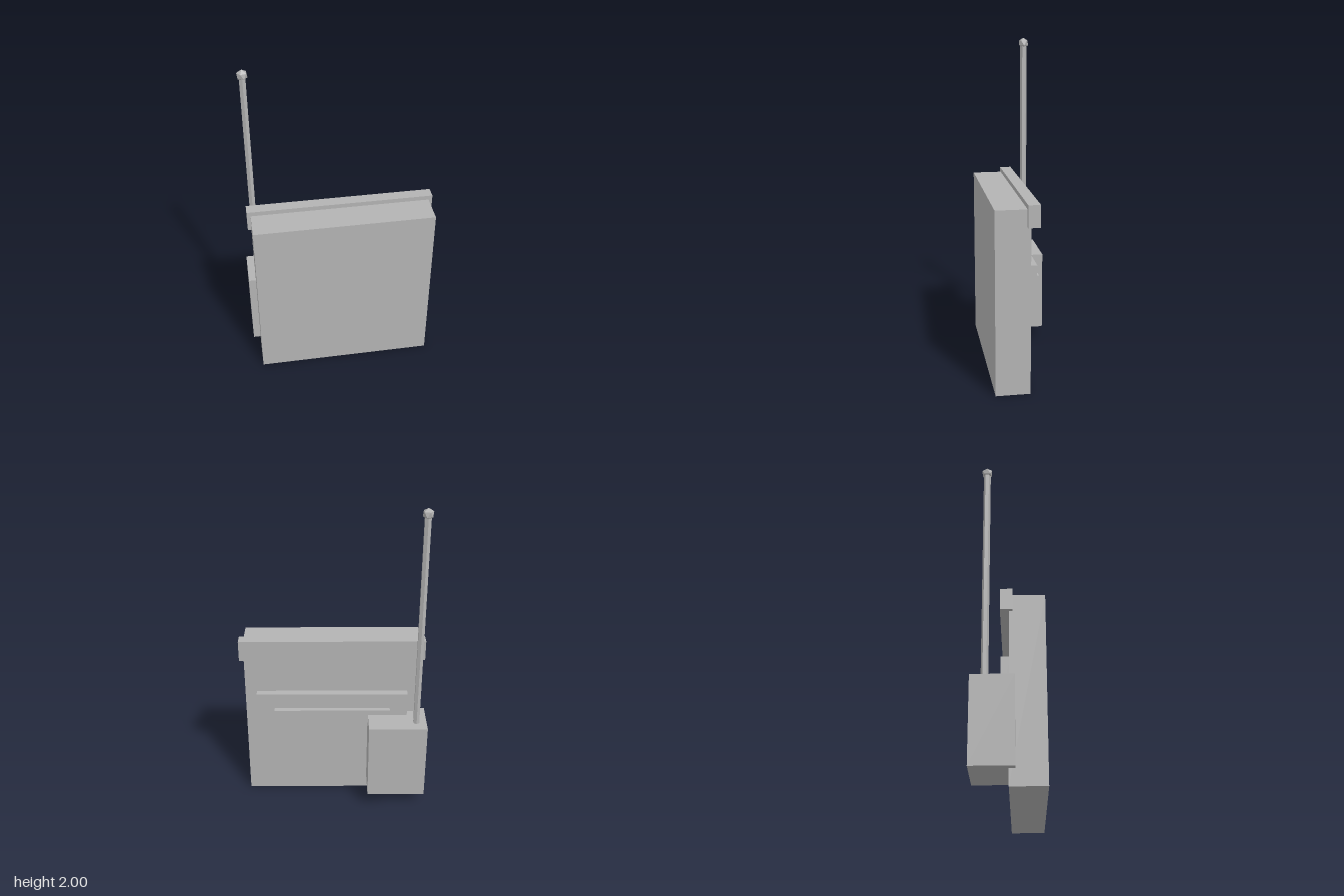
import * as THREE from 'three';

export function createModel() {
  const model = new THREE.Group();
  model.name = 'panelWithAntenna';
  const grey = new THREE.MeshStandardMaterial({ color: 0xb3b3b3, flatShading: true });
  grey.name = 'grey';

  function add(name, geometry, x, y, z) {
    const mesh = new THREE.Mesh(geometry, grey);
    mesh.name = name;
    mesh.position.set(x, y, z);
    model.add(mesh);
  }

  // Box given by its limits on each axis
  function addBox(name, [x0, x1], [y0, y1], [z0, z1]) {
    add(name, new THREE.BoxGeometry(x1 - x0, y1 - y0, z1 - z0),
      (x0 + x1) / 2, (y0 + y1) / 2, (z0 + z1) / 2);
  }

  addBox('mainSlab', [-0.54, 0.56], [0, 1.105], [0.003, 0.208]);
  addBox('topRail', [-0.563, 0.583], [1.003, 1.133], [-0.047, 0.024]);
  addBox('backPlate', [-0.467, 0.487], [0.522, 0.757], [-0.045, 0.01]);
  addBox('handleBar', [-0.356, 0.375], [0.623, 0.657], [-0.077, -0.04]);
  addBox('sideBox', [-0.585, -0.219], [0.095, 0.602], [-0.209, 0.037]);

  // Six-sided mast standing on the side box
  const mastX = -0.52, mastZ = -0.129;
  add('mast', new THREE.CylinderGeometry(0.021, 0.021, 1.36, 6), mastX, 1.28, mastZ);

  // Icosahedral knob, turned so that one corner points straight up
  const knob = new THREE.IcosahedronGeometry(0.034, 0);
  knob.rotateX(-Math.atan((1 + Math.sqrt(5)) / 2));
  knob.rotateY(-Math.PI / 2);
  add('mastKnob', knob, mastX, 1.966, mastZ);

  return model;
}
